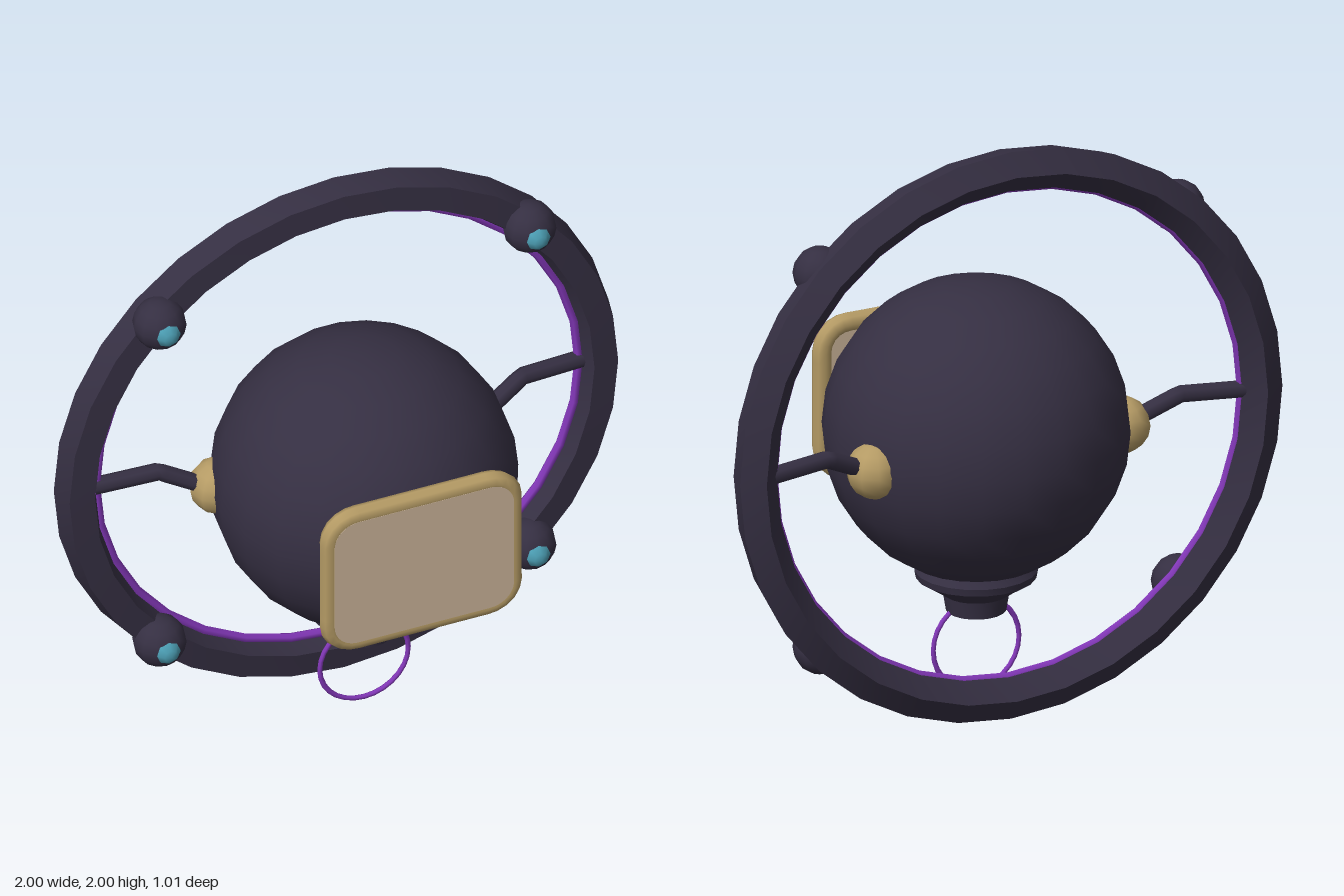
import * as THREE from 'three';
import { toCreasedNormals } from 'three/addons/utils/BufferGeometryUtils.js';

const paint = (color) => new THREE.MeshStandardMaterial({ color });
const dark = paint(0x352f42);
const gold = paint(0xb59b65);
const tan = paint(0xcbb499);
const purple = paint(0x8438ba);
const teal = paint(0x4a9bb0);

// Rounded rectangle outline centred on the origin
function roundedRect(w, h, r) {
  const s = new THREE.Shape();
  s.absarc(w - r, h - r, r, 0, Math.PI / 2);
  s.absarc(-w + r, h - r, r, Math.PI / 2, Math.PI);
  s.absarc(-w + r, -h + r, r, Math.PI, Math.PI * 1.5);
  s.absarc(w - r, -h + r, r, Math.PI * 1.5, Math.PI * 2);
  s.closePath();
  return s;
}

export function createModel() {
  const model = new THREE.Group();
  model.name = 'hoopRobot';

  function add(name, geometry, material, x = 0, y = 0, z = 0) {
    const mesh = new THREE.Mesh(geometry, material);
    mesh.name = name;
    mesh.position.set(x, y, z);
    model.add(mesh);
    return mesh;
  }

  // Round body
  add('body', new THREE.SphereGeometry(0.51, 22, 14), dark, 0, 0.94, 0);

  // Large hoop: a tilted pentagon section swept round the z axis
  const section = [];
  for (let i = 0; i <= 5; i++) {
    const a = -0.4 + (i * Math.PI * 2) / 5;
    section.push(new THREE.Vector2(0.93 + 0.075 * Math.cos(a), 0.075 * Math.sin(a)));
  }
  const hoop = new THREE.LatheGeometry(section, 32).rotateX(Math.PI / 2);
  add('hoop', toCreasedNormals(hoop, 0.6), dark, 0, 1, -0.225);
  add('hoopInnerBand', new THREE.TorusGeometry(0.862, 0.016, 6, 32), purple, 0, 1, -0.225);

  // Screen and its rounded frame
  const outline = roundedRect(0.327, 0.257, 0.09).getSpacedPoints(64).slice(0, -1);
  const path = new THREE.CatmullRomCurve3(outline.map((p) => new THREE.Vector3(p.x, p.y, 0)), true);
  add('screenFrame', new THREE.TubeGeometry(path, 72, 0.033, 8, true), gold, 0, 0.93, 0.475);
  const panel = new THREE.ExtrudeGeometry(roundedRect(0.32, 0.25, 0.085), { depth: 0.047, bevelEnabled: false, curveSegments: 6 });
  add('screen', panel, tan, 0, 0.93, 0.459);

  // Flared neck below the body
  const neck = [[0, 0.47], [0.19, 0.47], [0.205, 0.445], [0.2, 0.42], [0.145, 0.385], [0.11, 0.36], [0.1, 0.3], [0, 0.3]]
    .reverse().map(([r, y]) => new THREE.Vector2(r, y));
  add('neck', toCreasedNormals(new THREE.LatheGeometry(neck, 20), 0.6), dark);

  // Thin hanging ring
  add('hangingRing', new THREE.TorusGeometry(0.158, 0.009, 6, 28), purple, 0, 0.178, 0);

  for (const s of [1, -1]) {
    const side = s > 0 ? 'left' : 'right';

    // Joint and bent arm joining body to hoop
    add(side + 'Joint', new THREE.SphereGeometry(0.096, 10, 8), gold, s * 0.455, 0.925, -0.16);
    const arm = new THREE.CurvePath();
    const pts = [[0.46, 0.92, -0.16], [0.535, 0.955, -0.17], [0.65, 1.012, -0.2], [0.87, 1, -0.225]]
      .map(([x, y, z]) => new THREE.Vector3(s * x, y, z));
    for (let i = 0; i < 3; i++) arm.add(new THREE.LineCurve3(pts[i], pts[i + 1]));
    add(side + 'Arm', new THREE.TubeGeometry(arm, 20, 0.03, 8), dark);

    // Lamps on the hoop
    for (const v of [1, -1]) {
      const lamp = side + (v > 0 ? 'Upper' : 'Lower');
      add(lamp + 'LampHousing', new THREE.SphereGeometry(0.09, 12, 8), dark, s * 0.66, 1 + v * 0.66, -0.165);
      const lens = new THREE.SphereGeometry(0.047, 8, 6).rotateX(Math.PI / 2);
      add(lamp + 'Lens', lens, teal, s * 0.66, 1 + v * 0.66, -0.106);
    }
  }
  return model;
}
